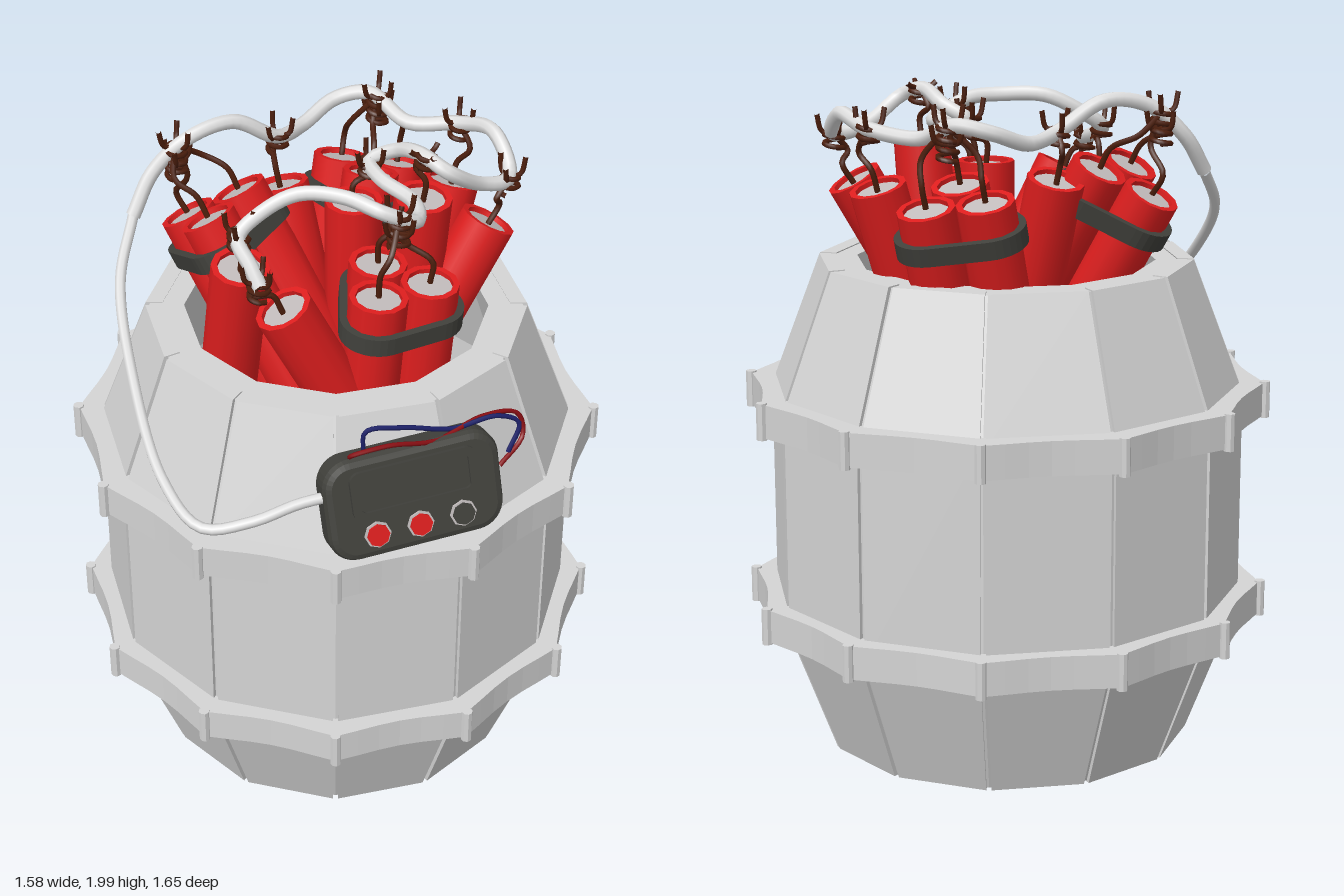
import * as THREE from 'three';

const V = (x, y, z) => new THREE.Vector3(x, y, z);
const UP = V(0, 1, 0);
const mat = (name, color, flat = false) => {
  const m = new THREE.MeshStandardMaterial({ color, flatShading: flat });
  m.name = name;
  return m;
};

export function createModel() {
  const M = {
    gray: mat('paleGray', 0xd4d4d4, true),
    cap: mat('capGray', 0xc2bcbc, true),
    red: mat('stickRed', 0xde1e1e),
    dark: mat('charcoal', 0x41413c, true),
    brown: mat('fuseBrown', 0x4d1f0d),
    cable: mat('cableWhite', 0xdedede),
    wireRed: mat('wireRed', 0x8c0f14),
    wireBlue: mat('wireBlue', 0x1c2068),
  };
  const model = new THREE.Group();
  const add = (parent, name, geo, m, x = 0, y = 0, z = 0) => {
    const mesh = new THREE.Mesh(geo, m);
    mesh.name = name;
    mesh.position.set(x, y, z);
    parent.add(mesh);
    return mesh;
  };
  const group = (parent, name, x = 0, y = 0, z = 0) => {
    const g = new THREE.Group();
    g.name = name;
    g.position.set(x, y, z);
    parent.add(g);
    return g;
  };
  const curveOf = pts => new THREE.CatmullRomCurve3(pts.map(p => (p.isVector3 ? p : V(...p))), false, 'centripetal');
  const tube = (parent, name, pts, r, m, seg = pts.length * 5, sides = 6) =>
    add(parent, name, new THREE.TubeGeometry(curveOf(pts), seg, r, sides), m);

  // ---- Barrel: twelve staves around a hollow shell ----
  const barrel = group(model, 'barrel', 0, 0, -0.03);
  const levels = [[0.56, 0], [0.712, 0.4], [0.712, 1.07], [0.56, 1.47]];
  const half = Math.PI / 12;
  const stave = new THREE.BoxGeometry(1, 3, 1, 1, 3, 1);
  const p = stave.attributes.position;
  for (let i = 0; i < p.count; i++) {
    const [r, y] = levels[Math.round(p.getY(i) + 1.5)];
    const rr = p.getZ(i) > 0 ? r : r - 0.05;
    p.setXYZ(i, Math.sign(p.getX(i)) * (rr * Math.sin(half) - 0.008), y, rr * Math.cos(half));
  }
  stave.computeVertexNormals();
  for (let i = 0; i < 12; i++) add(barrel, 'stave', stave, M.gray).rotation.y = (i + 0.5) * half * 2;

  const shell = [[0, 0.05], [0.44, 0.05], [0.45, 0.004], [0.547, 0.004], [0.7, 0.4], [0.7, 1.07], [0.547, 1.466],
    [0.445, 1.466], [0.58, 1.07], [0.58, 0.4], [0.44, 0.06]];
  add(barrel, 'shell', new THREE.LatheGeometry(shell.map(q => new THREE.Vector2(...q)), 12), M.gray);

  // Hoops dip inward between the clips that sit on the stave seams
  const outline = [], inner = [];
  for (let i = 0; i < 72; i++) {
    const a = (i / 72) * Math.PI * 2, dip = Math.sin(((i % 6) / 6) * Math.PI);
    const r = 0.774 - 0.042 * dip;
    outline.push(new THREE.Vector2(r * Math.cos(a), r * Math.sin(a)));
  }
  for (let i = 0; i < 12; i++) inner.push(new THREE.Vector2(0.69 * Math.cos(i * half * 2), 0.69 * Math.sin(i * half * 2)));
  const hoopShape = new THREE.Shape(outline);
  hoopShape.holes.push(new THREE.Path(inner));
  const hoopGeo = new THREE.ExtrudeGeometry(hoopShape, { depth: 0.1, bevelEnabled: false }).rotateX(-Math.PI / 2);
  const clipGeo = new THREE.CylinderGeometry(0.016, 0.016, 0.11, 8);
  for (const y of [0.373, 0.998]) {
    add(barrel, 'hoop', hoopGeo, M.gray, 0, y, 0);
    for (let i = 0; i < 12; i++) {
      const a = i * half * 2;
      add(barrel, 'hoopClip', clipGeo, M.gray, 0.776 * Math.sin(a), y + 0.05, 0.776 * Math.cos(a));
    }
  }

  // ---- White cable: thick loom over the sticks, thinner lead to the control box ----
  const lead = [[0.34, 1.3, 0.57], [0.27, 1.29, 0.64], [0.18, 1.26, 0.74], [0.06, 1.24, 0.81], [-0.1, 1.3, 0.75],
    [-0.32, 1.46, 0.56], [-0.48, 1.62, 0.37], [-0.53, 1.74, 0.22]];
  const loom = [[-0.53, 1.74, 0.22], [-0.51, 1.85, 0.14], [-0.44, 1.94, 0.06], [-0.36, 1.96, -0.06], [-0.28, 1.88, -0.17],
    [-0.27, 1.86, -0.3], [-0.23, 1.9, -0.42], [-0.14, 1.92, -0.47], [0, 1.87, -0.45], [0.15, 1.89, -0.49],
    [0.28, 1.92, -0.45], [0.38, 1.84, -0.36], [0.34, 1.86, -0.26], [0.29, 1.94, -0.15], [0.2, 1.965, -0.16],
    [0.1, 1.93, -0.2], [0.03, 1.89, -0.17], [0.1, 1.88, -0.11], [0.22, 1.86, -0.08], [0.28, 1.86, 0.01],
    [0.22, 1.91, 0.09], [0.1, 1.93, 0.1], [-0.02, 1.93, 0.15], [-0.1, 1.88, 0.22], [-0.13, 1.83, 0.29],
    [-0.05, 1.79, 0.35], [0.02, 1.77, 0.41]];
  tube(model, 'cableLead', lead, 0.016, M.cable, 48, 8);
  tube(model, 'cableLoom', loom, 0.022, M.cable, 140, 8);
  const loomPoints = curveOf(loom).getPoints(260);
  const nearest = q => loomPoints.reduce((a, b) => (b.distanceTo(q) < a.distanceTo(q) ? b : a));

  // Twisted wire wrapped on the cable, with loose ends
  const knot = (c, spin) => {
    const pts = [];
    for (let i = 0; i <= 14; i++) {
      const a = (i / 14) * Math.PI * 4 + spin;
      pts.push(V(c.x + 0.028 * Math.cos(a), c.y - 0.045 + i * 0.004, c.z + 0.028 * Math.sin(a)));
    }
    tube(model, 'wireTwist', pts, 0.008, M.brown, 40, 5);
    for (const k of [0, 2.3, 4.2]) {
      const dx = 0.035 * Math.cos(k + spin), dz = 0.035 * Math.sin(k + spin);
      const top = Math.min(c.y + 0.06, 1.985);
      tube(model, 'wireEnd', [c, V(c.x + dx, c.y + 0.01, c.z + dz), V(c.x + dx * 1.3, top, c.z + dz * 1.5)], 0.008, M.brown, 8, 5);
    }
  };
  // Fuse rises from the stick end and bows out before reaching the cable
  const fuse = (start, dir, end, spin) => {
    const a = start.clone().addScaledVector(dir, 0.07);
    const mid = a.clone().lerp(end, 0.5).add(V(0.04 * Math.cos(spin), -0.01, 0.04 * Math.sin(spin)));
    tube(model, 'fuse', [start, a, mid, end], 0.009, M.brown, 16, 5);
  };

  // ---- Sticks: local origin at the top end ----
  const R = 0.084, L = 0.72;
  const lathe = pts => new THREE.LatheGeometry(pts.map(q => new THREE.Vector2(...q)), 12);
  const tubeGeo = lathe([[R, -L], [R, 0]]);
  const rimGeo = lathe([[R, 0], [0.066, 0]]);
  const lipGeo = lathe([[0.066, 0], [0.066, -0.015]]);
  const baseGeo = lathe([[0, -L], [R, -L]]);
  const capGeo = new THREE.CircleGeometry(0.066, 12).rotateX(-Math.PI / 2);
  const stick = (parent, x, z) => {
    const g = group(parent, 'stick', x, 0, z);
    add(g, 'stickTube', tubeGeo, M.red);
    add(g, 'stickRim', rimGeo, M.red);
    add(g, 'stickLip', lipGeo, M.red);
    add(g, 'stickBase', baseGeo, M.red);
    add(g, 'stickEnd', capGeo, M.cap, 0, -0.014, 0);
  };
  const singles = [[0.15, 1.72, -0.45, 0.1, -0.3], [0.34, 1.71, -0.32, 0.35, -0.45], [0.21, 1.83, -0.16, 0.1, 0.03],
    [0, 1.77, -0.13, 0, 0], [-0.13, 1.73, 0.28, 0.18, 0.1], [0.05, 1.69, 0.35, -0.35, 0.35], [-0.26, 1.74, -0.15, -0.3, -0.1]];
  singles.forEach(([x, y, z, dx, dz], i) => {
    const dir = V(dx, 1, dz).normalize();
    const g = group(model, 'singleStick', x, y, z);
    g.quaternion.setFromUnitVectors(UP, dir);
    stick(g, 0, 0);
    const end = nearest(V(x, y, z).addScaledVector(dir, 0.12));
    fuse(V(x, y - 0.015, z), dir, end, i * 1.7);
    knot(end, i * 1.3);
  });

  // ---- Bundles of three held by a dark strap ----
  const C = 0.097;
  const strapLoop = (Kind, r) => {
    const s = new Kind();
    for (let i = 0; i < 3; i++) {
      const a = (i * 2 * Math.PI) / 3;
      s.absarc(C * Math.cos(a), C * Math.sin(a), r, a - Math.PI / 3, a + Math.PI / 3, false);
    }
    s.closePath();
    return s;
  };
  const strapShape = strapLoop(THREE.Shape, 0.104);
  strapShape.holes.push(strapLoop(THREE.Path, 0.082));
  const strapGeo = new THREE.ExtrudeGeometry(strapShape, { depth: 0.055, bevelEnabled: false, curveSegments: 5 }).rotateX(-Math.PI / 2);
  const bundles = [[-0.37, 1.735, 0.055, -0.57, 0.05, Math.PI], [0.25, 1.69, 0.07, 0.08, 0, -Math.PI / 2],
    [-0.115, 1.71, -0.43, -0.02, -0.3, Math.PI]];
  bundles.forEach(([x, y, z, dx, dz, spin], b) => {
    const dir = V(dx, 1, dz).normalize();
    const g = group(model, 'stickBundle', x, y, z);
    g.quaternion.setFromUnitVectors(UP, dir).multiply(new THREE.Quaternion().setFromAxisAngle(UP, spin));
    add(g, 'strap', strapGeo, M.dark, 0, -0.13, 0);
    const end = nearest(V(x, y, z).addScaledVector(dir, 0.2));
    for (let i = 0; i < 3; i++) {
      const a = (i * 2 * Math.PI) / 3;
      const local = V(C * Math.cos(a), 0, -C * Math.sin(a));
      stick(g, local.x, local.z);
      fuse(local.applyQuaternion(g.quaternion).add(g.position), dir, end, i * 2 + b);
    }
    knot(end, b);
    knot(end.clone().add(V(0, -0.05, 0)), b + 1);
  });

  // ---- Control box leaning on the barrel ----
  const box = group(model, 'controlBox', 0.485, 1.258, 0.4);
  box.rotation.set(-0.26, 0.84, 0.05, 'YXZ');
  const roundRect = (Kind, w, h, r) => {
    const s = new Kind(), x = w / 2 - r, y = h / 2 - r, q = Math.PI / 2;
    s.absarc(x, y, r, 0, q, false);
    s.absarc(-x, y, r, q, 2 * q, false);
    s.absarc(-x, -y, r, 2 * q, 3 * q, false);
    s.absarc(x, -y, r, 3 * q, 4 * q, false);
    s.closePath();
    return s;
  };
  add(box, 'boxBody', new THREE.ExtrudeGeometry(roundRect(THREE.Shape, 0.47, 0.26, 0.06),
    { depth: 0.055, bevelThickness: 0.02, bevelSize: 0.022, bevelSegments: 2, curveSegments: 4 }), M.dark, 0, 0, -0.025);
  const frame = roundRect(THREE.Shape, 0.37, 0.145, 0.03);
  frame.holes.push(roundRect(THREE.Path, 0.32, 0.1, 0.015));
  add(box, 'screenFrame', new THREE.ExtrudeGeometry(frame, { depth: 0.014, bevelEnabled: false, curveSegments: 3 }), M.dark, 0, 0.045, 0.049);
  add(box, 'screen', new THREE.BoxGeometry(0.32, 0.1, 0.006), M.dark, 0, 0.045, 0.051);
  const disc = (r, d) => new THREE.CylinderGeometry(r, r, d, 8).rotateX(Math.PI / 2);
  [M.red, M.red, M.dark].forEach((m, i) => {
    const x = -0.122 + i * 0.126;
    add(box, 'buttonRing', disc(0.039, 0.012), M.cap, x, -0.08, 0.051);
    add(box, 'button', disc(0.033, 0.022), m, x, -0.08, 0.053);
  });

  // Thin loose wires looping over the box
  tube(model, 'blueWire', [[0.37, 1.38, 0.46], [0.37, 1.45, 0.45], [0.45, 1.45, 0.38], [0.55, 1.42, 0.28],
    [0.64, 1.44, 0.19], [0.69, 1.41, 0.15], [0.68, 1.33, 0.19]], 0.007, M.wireBlue, 40);
  tube(model, 'redWire', [[0.35, 1.37, 0.48], [0.37, 1.42, 0.53], [0.45, 1.44, 0.46], [0.53, 1.41, 0.34],
    [0.6, 1.43, 0.2], [0.66, 1.4, 0.1], [0.68, 1.33, 0.1], [0.66, 1.28, 0.2]], 0.007, M.wireRed, 45);
  return model;
}
